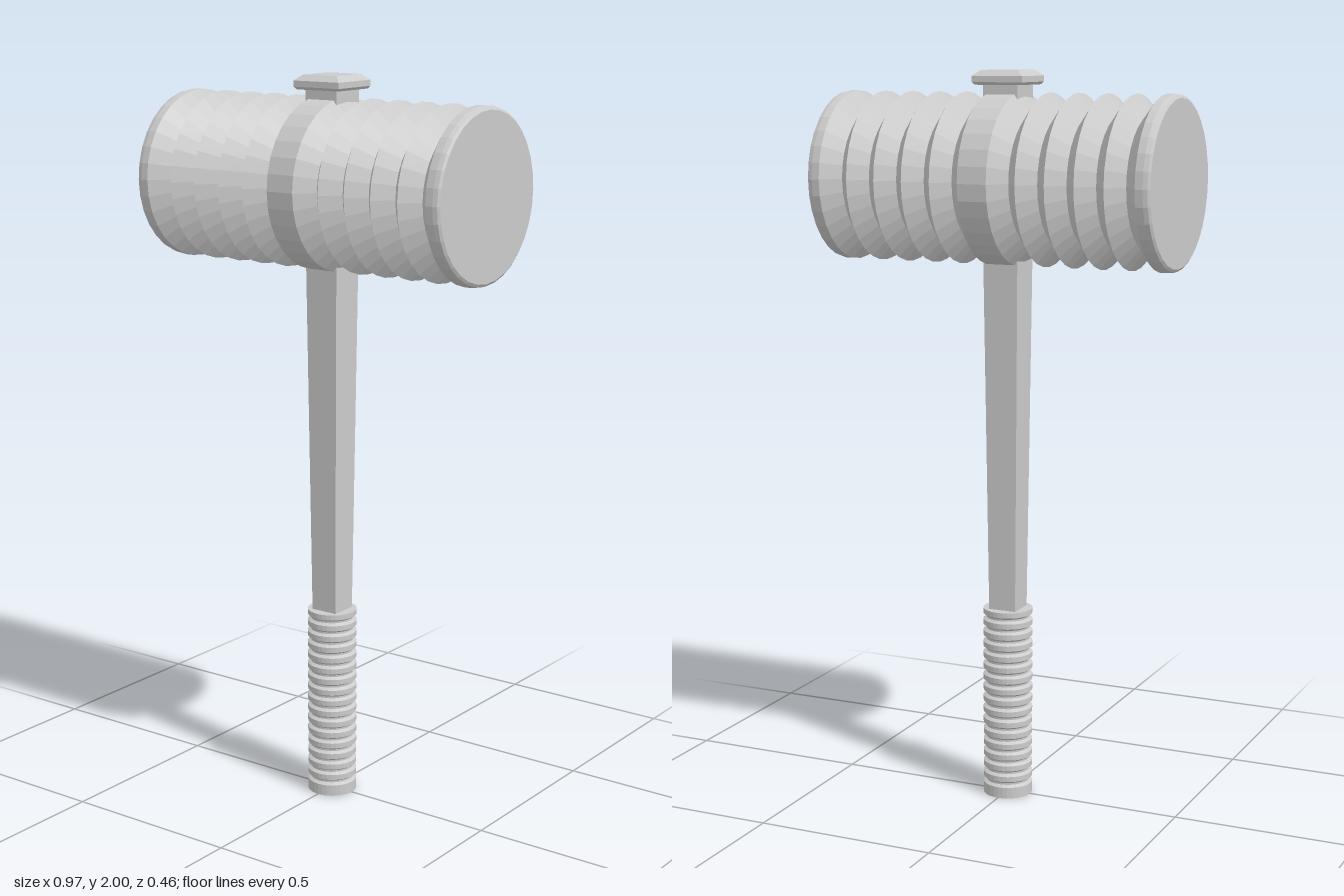
import * as THREE from 'three';

const material = new THREE.MeshStandardMaterial({ color: 0xcccccc, flatShading: true });

function add(group, name, geometry, y) {
  const mesh = new THREE.Mesh(geometry, material);
  mesh.name = name;
  mesh.position.y = y;
  group.add(mesh);
  return mesh;
}

// Turned solid from [radius, height] pairs listed bottom to top
const turned = (profile, sides) =>
  new THREE.LatheGeometry(profile.map(([r, y]) => new THREE.Vector2(r, y)), sides);

// Square, tapered block given by its half widths, standing on y = 0
const taperedBlock = (bottom, top, height) =>
  new THREE.CylinderGeometry(top * Math.SQRT2, bottom * Math.SQRT2, height, 4)
    .rotateY(Math.PI / 4)
    .translate(0, height / 2, 0);

export function createModel() {
  const model = new THREE.Group();
  model.name = 'mallet';

  // Bellows head: half a profile from the middle band outwards, then mirrored
  const outer = 0.229, valley = 0.177, pitch = 0.081;
  const half = [[outer, 0.041]];
  for (let i = 1; i <= 5; i++) {
    half.push([valley, i * pitch]);
    if (i < 5) half.push([outer, (i + 0.5) * pitch]);
  }
  half.push([outer, 0.447], [outer, 0.468], [0.226, 0.48], [0.219, 0.485], [0, 0.485]);
  const mirrored = half.map(([r, y]) => [r, -y]).reverse();
  const head = add(model, 'bellowsHead', turned([...mirrored, ...half], 32), 1.714);
  head.rotation.z = Math.PI / 2;

  // Square shaft, widening upwards into the head
  add(model, 'shaft', taperedBlock(0.039, 0.05, 1.0), 0.52);

  // Neck and bevelled cap on top of the head
  add(model, 'neck', taperedBlock(0.05, 0.05, 0.46), 1.51);
  add(model, 'capUnderside', taperedBlock(0.066, 0.072, 0.007), 1.962);
  add(model, 'capRim', taperedBlock(0.072, 0.072, 0.016), 1.969);
  add(model, 'capTop', taperedBlock(0.072, 0.054, 0.015), 1.985);

  // Ribbed round grip
  const rim = 0.068, groove = 0.059, ribs = 16, step = 0.0315;
  const grip = [[0, 0], [rim, 0], [rim, 0.031]];
  for (let i = 0; i < ribs; i++) {
    const y = 0.031 + i * step;
    grip.push([groove, y + 0.006], [groove, y + 0.011], [rim, y + 0.017], [rim, y + step]);
  }
  grip.push([0, 0.535]);
  add(model, 'grip', turned(grip, 32), 0);

  return model;
}
